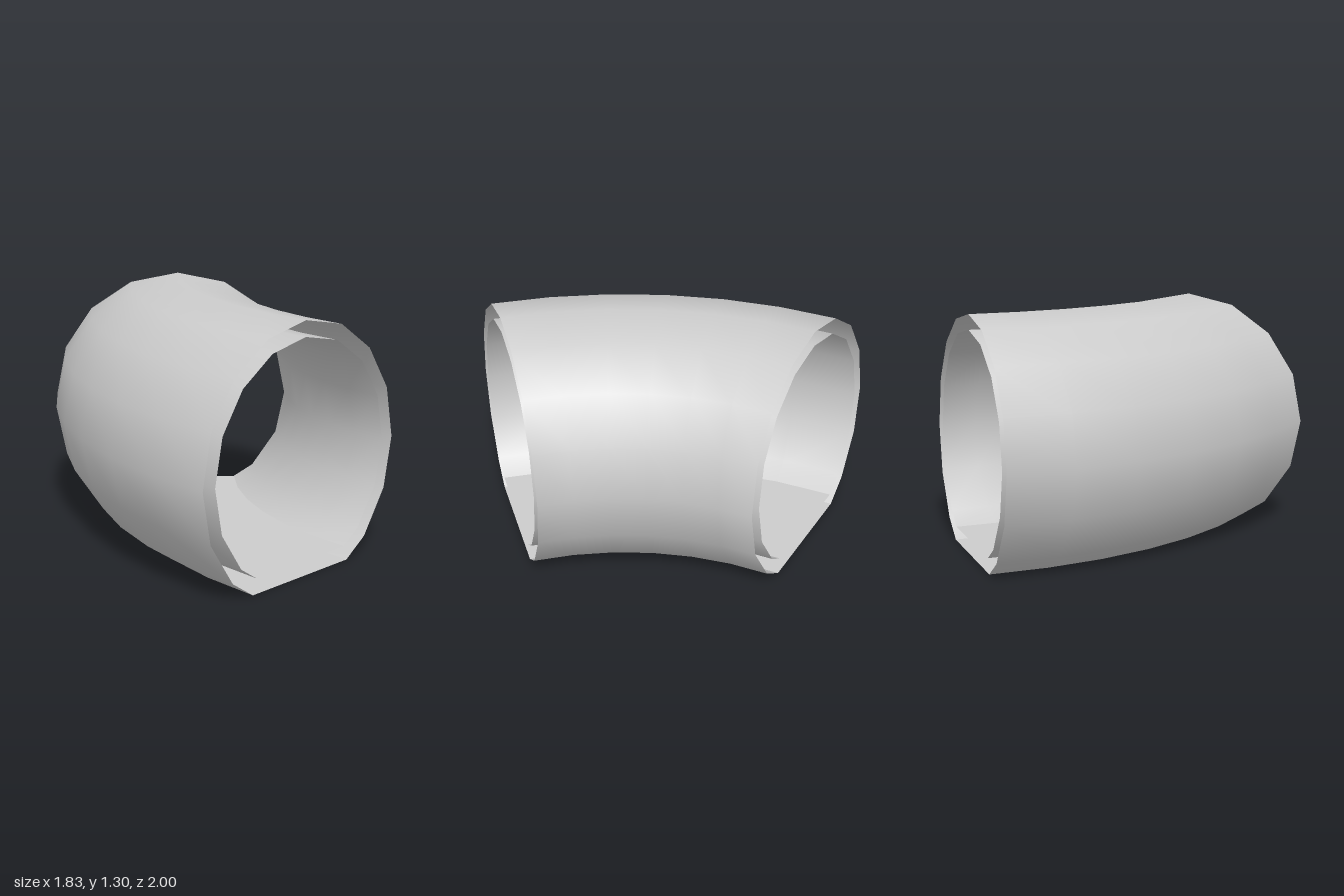
import * as THREE from 'three';
import { toCreasedNormals } from 'three/addons/utils/BufferGeometryUtils.js';

const CENTER_Y = 0.595;              // height of the pipe axis
const BEND = { x: 1.91, z: 1, radius: 2.117, angle: Math.PI / 4, steps: 6 };

// 16-sided circle whose underside is cut flat at floorY; runs counterclockwise
function section(radius, floorY) {
  const points = [];
  for (let k = -2; k <= 10; k++) {
    const a = k * Math.PI / 8;
    points.push([radius * Math.cos(a), CENTER_Y + radius * Math.sin(a)]);
  }
  // where the next side would cross the floor
  const a = Math.PI / 4, b = 3 * Math.PI / 8;
  const y0 = CENTER_Y - radius * Math.sin(a), y1 = CENTER_Y - radius * Math.sin(b);
  const t = (y0 - floorY) / (y0 - y1);
  const x = radius * THREE.MathUtils.lerp(Math.cos(a), Math.cos(b), t);
  points.push([-x, floorY], [x, floorY]);
  return points;
}

// Sweeps a section around the vertical bend axis, leaving both ends open
function sweptShell(name, points, inward) {
  const n = points.length, position = [], index = [];
  for (let i = 0; i <= BEND.steps; i++) {
    const t = BEND.angle * i / BEND.steps;
    for (const [u, y] of points) {
      const r = BEND.radius - u;
      position.push(BEND.x - r * Math.cos(t), y, BEND.z - r * Math.sin(t));
    }
  }
  for (let i = 0; i < BEND.steps; i++) {
    for (let j = 0; j < n; j++) {
      const a = i * n + j, b = i * n + (j + 1) % n, c = a + n, d = b + n;
      if (inward) index.push(a, b, c, b, d, c);
      else index.push(a, c, b, b, c, d);
    }
  }
  const geometry = new THREE.BufferGeometry();
  geometry.setAttribute('position', new THREE.Float32BufferAttribute(position, 3));
  geometry.setIndex(index);
  const material = new THREE.MeshStandardMaterial({ color: 0xcccccc, side: THREE.DoubleSide });
  const mesh = new THREE.Mesh(toCreasedNormals(geometry, 0.5), material);
  mesh.name = name;
  return mesh;
}

export function createModel() {
  const group = new THREE.Group();
  group.name = 'curvedTunnel';
  group.add(
    sweptShell('outerWall', section(0.707, 0), false),
    sweptShell('innerWall', section(0.625, 0.08), true),
  );
  return group;
}
